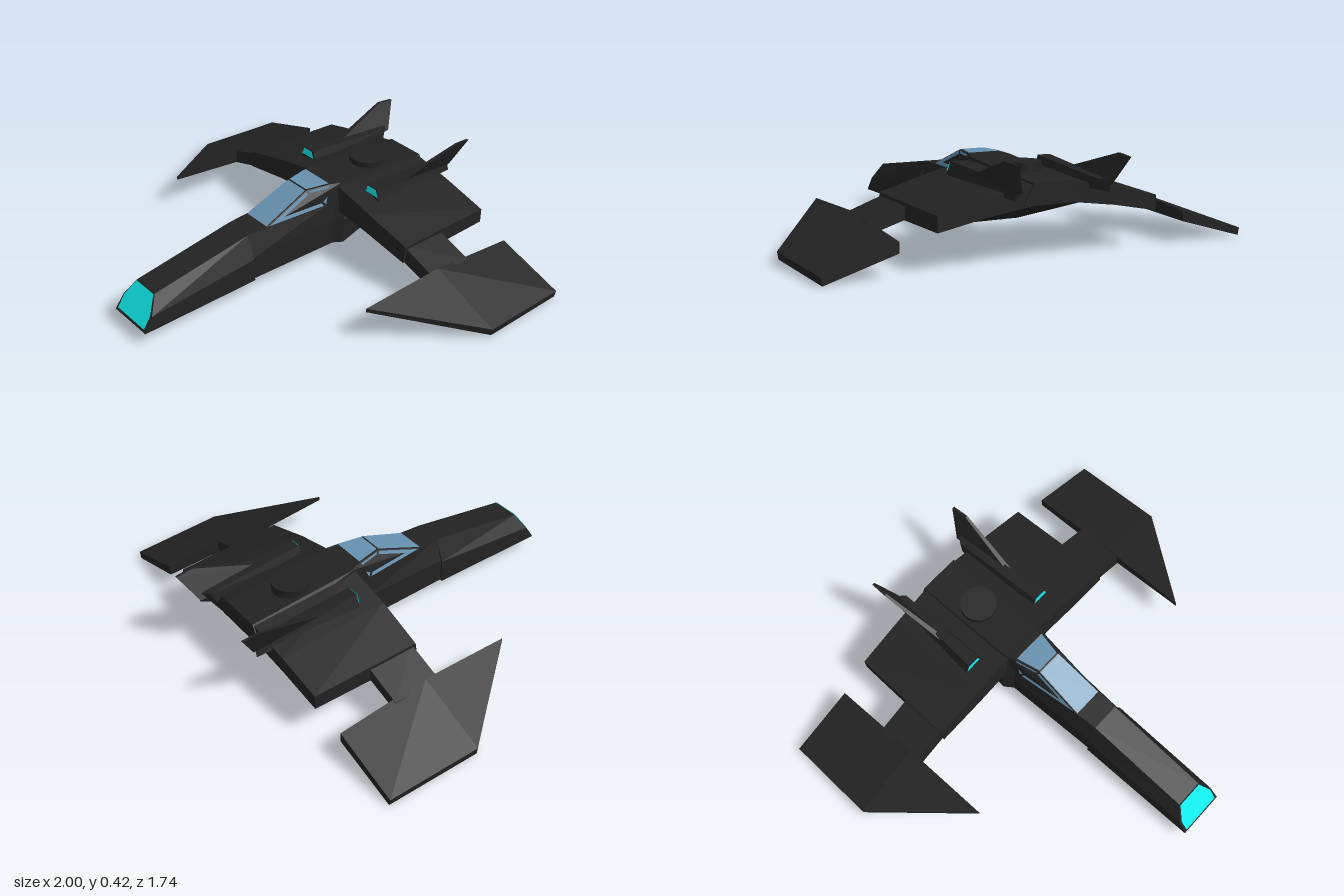
import * as THREE from 'three';
import { ConvexGeometry } from 'three/addons/geometries/ConvexGeometry.js';

const paint = (color) => new THREE.MeshStandardMaterial({ color, flatShading: true, side: THREE.DoubleSide });
const hullMat = paint(0x222222), glowMat = paint(0x10eeee), glassMat = paint(0x6690ae);

// Closed faceted solid through rings of [x, y, z] corners; winding is fixed by signed volume.
function loft(rings) {
  const tris = [];
  const n = rings[0].length;
  for (let r = 0; r < rings.length - 1; r++) {
    for (let i = 0; i < n; i++) {
      const j = (i + 1) % n, a = rings[r], b = rings[r + 1];
      tris.push([a[i], a[j], b[j]], [a[i], b[j], b[i]]);
    }
  }
  const first = rings[0], last = rings[rings.length - 1];
  for (let i = 1; i < n - 1; i++) {
    tris.push([first[0], first[i + 1], first[i]], [last[0], last[i], last[i + 1]]);
  }
  const v = (p) => new THREE.Vector3(...p);
  const volume = tris.reduce((sum, [a, b, c]) => sum + v(a).dot(v(b).cross(v(c))), 0);
  if (volume < 0) tris.forEach((t) => t.reverse());
  return fromTriangles(tris);
}

function fromTriangles(tris) {
  const geo = new THREE.BufferGeometry();
  geo.setAttribute('position', new THREE.Float32BufferAttribute(tris.flat(2), 3));
  geo.computeVertexNormals();
  return geo;
}

// Flat inset panel lifted just off the surface, away from an inner point.
function panel(corners, inner, inset = 0.94, lift = 0.004) {
  let pts = corners.map((p) => new THREE.Vector3(...p));
  const mid = pts.reduce((s, p) => s.add(p), new THREE.Vector3()).divideScalar(pts.length);
  const normal = pts[1].clone().sub(pts[0]).cross(pts[2].clone().sub(pts[0])).normalize();
  if (normal.dot(mid.clone().sub(new THREE.Vector3(...inner))) < 0) {
    normal.negate();
    pts.reverse();
  }
  pts = pts.map((p) => p.clone().sub(mid).multiplyScalar(inset).add(mid).addScaledVector(normal, lift).toArray());
  return fromTriangles(pts.slice(2).map((p, i) => [pts[0], pts[i + 1], p]));
}

const flip = (s, pts) => pts.map(([x, y, z]) => [s * x, y, z]);

// Mirror-symmetric six-cornered section: bottom, waist and top half-corners.
const section = (...half) => [...half, ...flip(-1, half).reverse()];

export function createModel() {
  const model = new THREE.Group();
  const add = (name, geo, mat = hullMat) => {
    const mesh = new THREE.Mesh(geo, mat);
    mesh.name = name;
    model.add(mesh);
    return mesh;
  };

  // Long nose with a sloped front face
  const noseFace = [[0.112, 0.07, 0.87], [0.106, 0.135, 0.828], [0.065, 0.21, 0.78]];
  add('nose', loft([
    section(...noseFace),
    section([0.112, 0.07, 0.29], [0.108, 0.18, 0.29], [0.066, 0.285, 0.29]),
  ]));
  add('noseLight', panel(section([0.1, 0.08, 0.8636], [0.1, 0.135, 0.828], [0.064, 0.208, 0.781]),
    [0, 0.14, 0.5], 0.98), glowMat);

  // Body under the cockpit, then the broad rear with its upswept belly
  add('body', loft([
    section([0.104, 0.075, 0.29], [0.1, 0.18, 0.29], [0.066, 0.285, 0.29]),
    section([0.115, 0.072, -0.16], [0.112, 0.19, -0.16], [0.098, 0.285, -0.16]),
    section([0.145, 0.075, -0.2], [0.145, 0.2, -0.2], [0.1, 0.365, -0.21]),
    section([0.14, 0.23, -0.725], [0.135, 0.25, -0.725], [0.095, 0.32, -0.725]),
  ]));

  // Cockpit hull with glazing
  const P = [0.07, 0.283, 0.19], B = [0.06, 0.375, -0.045], C = [0.103, 0.283, -0.13];
  const D = [0.085, 0.372, -0.165], E = [0.1, 0.365, -0.22], F = [0.106, 0.28, -0.22];
  const canopyPts = [P, B, C, D, E, F];
  add('canopyFrame', new ConvexGeometry(
    [...canopyPts, ...flip(-1, canopyPts)].map((p) => new THREE.Vector3(...p))));
  const core = [0, 0.28, -0.08];
  const across = (a, b) => [a, b, ...flip(-1, [b, a])];
  add('windscreen', panel(across(P, B), core, 0.97), glassMat);
  add('roofWindow', panel(across(B, D), core), glassMat);

  // Raised round hatch
  add('hatch', new THREE.CylinderGeometry(0.083, 0.083, 0.06, 24)).position.set(0, 0.345, -0.47);

  for (const s of [1, -1]) {
    const side = s > 0 ? 'left' : 'right';
    const solid = (name, ...rings) => add(side + name, loft(rings.map((r) => flip(s, r))));

    add(side + 'FrontWindow', panel(flip(s, [P, B, C]), core, 0.9), glassMat);
    add(side + 'RearWindow', panel(flip(s, [B, D, C]), core, 0.88), glassMat);

    // Drooping inner wing
    solid('InnerWing',
      [[0.09, 0.355, -0.2], [0.09, 0.315, -0.72], [0.09, 0.23, -0.72], [0.09, 0.24, -0.19]],
      [[0.3, 0.308, -0.2], [0.3, 0.275, -0.715], [0.3, 0.2, -0.715], [0.3, 0.215, -0.19]],
      [[0.53, 0.245, -0.21], [0.515, 0.225, -0.71], [0.515, 0.158, -0.71], [0.53, 0.168, -0.2]]);

    // Narrow link to the wing tip
    solid('WingLink',
      [[0.51, 0.238, -0.22], [0.51, 0.225, -0.44], [0.51, 0.17, -0.44], [0.51, 0.172, -0.21]],
      [[0.69, 0.175, -0.22], [0.69, 0.165, -0.44], [0.69, 0.115, -0.44], [0.69, 0.115, -0.21]]);

    // Blade-shaped wing tip
    solid('WingTip',
      [[0.67, 0.185, -0.27], [0.67, 0.178, 0.15], [1, 0.055, -0.27], [0.987, 0.038, -0.7], [0.67, 0.14, -0.7]],
      [[0.67, 0.115, -0.27], [0.67, 0.16, 0.15], [0.995, 0.022, -0.27], [0.98, 0.005, -0.7], [0.67, 0.095, -0.7]]);

    // Cannon pod with a glowing front
    const podFront = [[0.17, 0.32, -0.3], [0.185, 0.367, -0.3], [0.245, 0.367, -0.3], [0.267, 0.3, -0.3]];
    solid('Pod', podFront,
      [[0.168, 0.28, -0.74], [0.178, 0.325, -0.76], [0.21, 0.325, -0.79], [0.225, 0.27, -0.79]]);
    add(side + 'PodLight', panel(
      flip(s, [[0.18, 0.33, -0.3], [0.19, 0.366, -0.3], [0.245, 0.366, -0.3], [0.262, 0.328, -0.3]]),
      [s * 0.21, 0.33, -0.6], 0.97), glowMat);

    // Thin swept fin leaning outward
    const fin = [[-0.48, 0.335], [-0.79, 0.428], [-0.87, 0.42], [-0.8, 0.298], [-0.6, 0.29]];
    const finSide = (dx) => fin.map(([z, y]) =>
      [0.208 + (y - 0.3) * 0.42 + dx * (y > 0.4 ? 0.5 : 1), y, z]);
    solid('Fin', finSide(-0.012), finSide(0.012));
  }
  return model;
}
